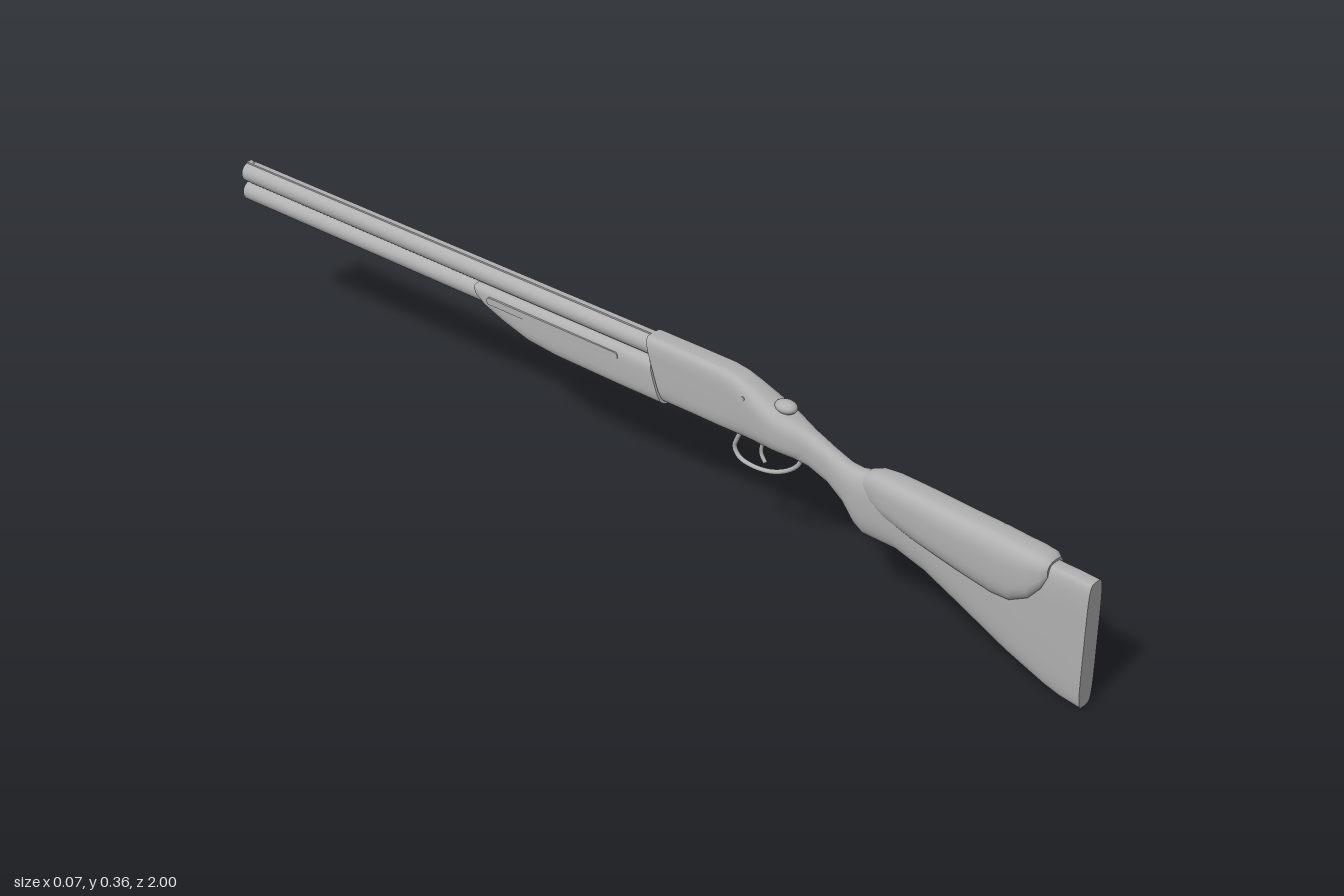
import * as THREE from 'three';

const steel = new THREE.MeshStandardMaterial({ color: 0xb0b0b0 });
steel.name = 'plain grey';

function add(group, name, geometry, x = 0, y = 0, z = 0) {
  const mesh = new THREE.Mesh(geometry, steel);
  mesh.name = name;
  mesh.position.set(x, y, z);
  group.add(mesh);
  return mesh;
}

// Loft of rounded sections running towards -z.
// Section: [z, bottom, top, half width, squareness, tilt]
function loft(sections, seg = 40) {
  const pos = [], idx = [];
  const power = (v, n) => Math.sign(v) * Math.pow(Math.abs(v), 2 / n);
  const ring = ([z, b, t, w, n = 3, tilt = 0]) => {
    const start = pos.length / 3, h = (t - b) / 2;
    for (let i = 0; i < seg; i++) {
      const a = (i / seg) * Math.PI * 2;
      const dy = h * power(Math.sin(a), n);
      pos.push(w * power(Math.cos(a), n), b + h + dy, z + tilt * dy);
    }
    return start;
  };
  const starts = sections.map(ring);
  for (let j = 0; j < starts.length - 1; j++) {
    for (let i = 0; i < seg; i++) {
      const k = (i + 1) % seg, a = starts[j], c = starts[j + 1];
      idx.push(a + i, c + i, a + k, a + k, c + i, c + k);
    }
  }
  // Separate cap vertices keep the end edges sharp
  [sections[0], sections[sections.length - 1]].forEach((s, end) => {
    const r = ring(s), centre = pos.length / 3;
    pos.push(0, (s[1] + s[2]) / 2, s[0]);
    for (let i = 0; i < seg; i++) {
      const k = (i + 1) % seg;
      if (end === 0) idx.push(centre, r + i, r + k);
      else idx.push(centre, r + k, r + i);
    }
  });
  const g = new THREE.BufferGeometry();
  g.setAttribute('position', new THREE.Float32BufferAttribute(pos, 3));
  g.setIndex(idx);
  g.computeVertexNormals();
  return g;
}

// Round rod through points given as [y, z]
function rod(points, radius) {
  const curve = new THREE.CatmullRomCurve3(points.map(([y, z]) => new THREE.Vector3(0, y, z)));
  return new THREE.TubeGeometry(curve, 40, radius, 10);
}

// Hollow barrel lying along z
function barrelGeometry(from, to, outer, inner) {
  const L = from - to;
  const p = [[inner, 0], [outer, 0], [outer, 0], [outer, L], [outer, L], [inner, L], [inner, L], [inner, 0]];
  const g = new THREE.LatheGeometry(p.map(([r, y]) => new THREE.Vector2(r, y)), 32);
  g.rotateX(-Math.PI / 2);
  g.translate(0, 0, from);
  return g;
}

export function createModel() {
  const gun = new THREE.Group();
  gun.name = 'doubleBarrelShotgun';

  // Stock, grip and wrist
  add(gun, 'stock', loft([
    [1.0, 0.0, 0.242, 0.02, 5],
    [0.96, 0.006, 0.244, 0.021, 5],
    [0.93, 0.014, 0.245, 0.022, 4.5],
    [0.85, 0.045, 0.25, 0.023, 4],
    [0.75, 0.093, 0.256, 0.024, 3.5],
    [0.68, 0.125, 0.26, 0.025, 3],
    [0.62, 0.143, 0.264, 0.027, 2.8],
    [0.58, 0.143, 0.27, 0.028, 2.6],
    [0.55, 0.143, 0.266, 0.027, 2.5],
    [0.53, 0.154, 0.261, 0.024, 2.5],
    [0.505, 0.185, 0.263, 0.021, 2.5],
    [0.47, 0.21, 0.276, 0.019, 2.5],
    [0.43, 0.226, 0.291, 0.021, 2.6],
    [0.39, 0.232, 0.3, 0.024, 3],
  ]));

  // Raised cheek piece on both sides of the stock
  add(gun, 'cheekPiece', loft([
    [0.922, 0.218, 0.25, 0.022, 2.5],
    [0.912, 0.195, 0.257, 0.03, 2.8],
    [0.89, 0.168, 0.26, 0.034, 3],
    [0.855, 0.148, 0.262, 0.0355, 3],
    [0.82, 0.147, 0.265, 0.0355, 3],
    [0.75, 0.16, 0.268, 0.035, 3],
    [0.66, 0.18, 0.273, 0.034, 3],
    [0.6, 0.196, 0.276, 0.032, 2.8],
    [0.57, 0.206, 0.275, 0.028, 2.5],
    [0.55, 0.215, 0.267, 0.022, 2.3],
  ]));

  // Receiver, with swollen shoulders at the back
  add(gun, 'receiver', loft([
    [0.44, 0.23, 0.286, 0.019, 2.5],
    [0.41, 0.231, 0.299, 0.024, 2.6],
    [0.385, 0.232, 0.307, 0.031, 2.7],
    [0.36, 0.233, 0.316, 0.035, 2.8],
    [0.33, 0.234, 0.328, 0.034, 3],
    [0.3, 0.235, 0.34, 0.031, 3.4],
    [0.27, 0.235, 0.349, 0.029, 4],
    [0.24, 0.235, 0.353, 0.028, 4.5],
    [0.18, 0.235, 0.354, 0.027, 4.5, -0.15],
    [0.088, 0.235, 0.354, 0.027, 4.5, -0.35],
  ]));

  // Opening lever knob
  const knob = add(gun, 'openingLever', new THREE.SphereGeometry(1, 24, 16), 0, 0.318, 0.367);
  knob.scale.set(0.017, 0.012, 0.022);

  // Forearm under the barrels
  add(gun, 'forearm', loft([
    [0.093, 0.229, 0.314, 0.029, 3.6, -0.35],
    [0.06, 0.229, 0.314, 0.029, 3.6, -0.2],
    [0.0, 0.229, 0.314, 0.029, 3.6],
    [-0.15, 0.23, 0.314, 0.028, 3.5],
    [-0.22, 0.236, 0.314, 0.028, 3.3],
    [-0.28, 0.253, 0.314, 0.027, 3.2],
    [-0.33, 0.272, 0.314, 0.026, 3],
    [-0.35, 0.288, 0.313, 0.025, 2.8],
    [-0.355, 0.298, 0.312, 0.023, 2.6],
  ]));

  // Barrels, joining strips and sighting rib
  for (const [name, y] of [['upperBarrel', 0.331], ['lowerBarrel', 0.291]]) {
    add(gun, name, barrelGeometry(0.11, -1, 0.0205, 0.016), 0, y, 0);
  }
  add(gun, 'barrelJoint', new THREE.BoxGeometry(0.012, 0.012, 1.06), 0, 0.311, -0.44);
  add(gun, 'sightRib', new THREE.BoxGeometry(0.012, 0.006, 1.085), 0, 0.3505, -0.4575);
  add(gun, 'frontBead', new THREE.SphereGeometry(0.0025, 12, 8), 0, 0.354, -0.985);

  // Long side inlays and receiver pins, mirrored
  const inlay = new THREE.Shape();
  inlay.absarc(0.155, 0, 0.007, -Math.PI / 2, Math.PI / 2);
  inlay.absarc(-0.155, 0, 0.007, Math.PI / 2, Math.PI * 1.5);
  const inlayGeometry = new THREE.ExtrudeGeometry(inlay, { depth: 0.004, bevelEnabled: false });
  inlayGeometry.translate(0, 0, -0.002);
  inlayGeometry.rotateY(Math.PI / 2);
  const pin = new THREE.CylinderGeometry(0.004, 0.004, 0.006, 12).rotateZ(Math.PI / 2);
  for (const side of [-1, 1]) {
    add(gun, 'forearmInlay', inlayGeometry, side * 0.0275, 0.293, -0.155);
    add(gun, 'receiverPin', pin, side * 0.0275, 0.318, 0.295);
  }

  // Trigger and guard
  add(gun, 'triggerGuard', rod([
    [0.236, 0.405], [0.215, 0.398], [0.192, 0.372], [0.176, 0.335], [0.172, 0.295],
    [0.178, 0.268], [0.195, 0.256], [0.215, 0.262], [0.24, 0.275],
  ], 0.0045));
  add(gun, 'trigger', rod([[0.24, 0.325], [0.222, 0.317], [0.205, 0.316], [0.19, 0.325]], 0.004));

  return gun;
}
